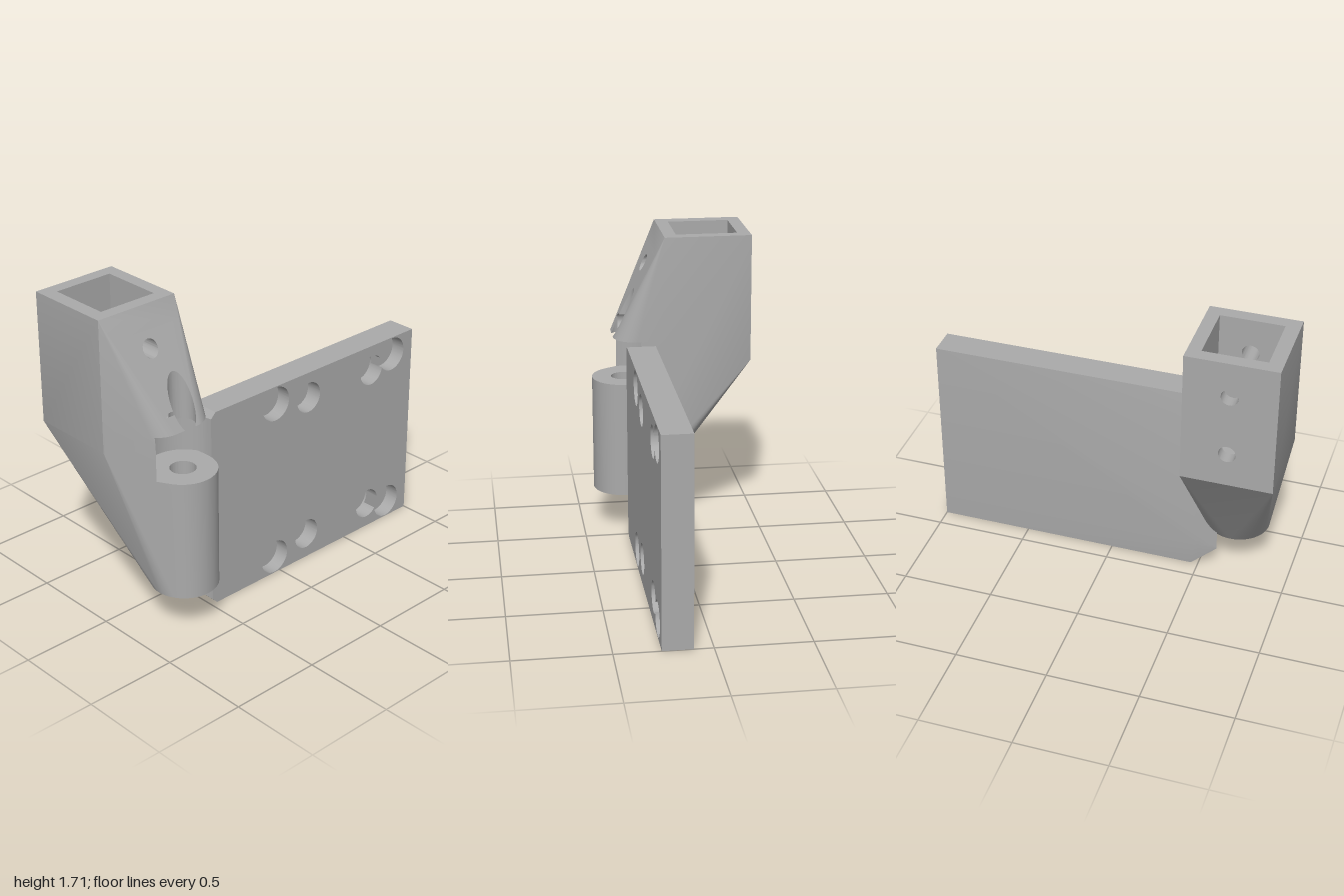
import * as THREE from 'three';
import { toCreasedNormals } from 'three/addons/utils/BufferGeometryUtils.js';
import { ConvexGeometry } from 'three/addons/geometries/ConvexGeometry.js';

const EPS = 1e-5;
const V = (x, y, z) => new THREE.Vector3(x, y, z);

// Convex solid from points: its triangles and its distinct face planes
function hull(points) {
  const p = new ConvexGeometry(points).getAttribute('position');
  const polys = [], planes = new Map();
  for (let i = 0; i < p.count; i += 3) {
    const tri = [0, 1, 2].map(k => new THREE.Vector3().fromBufferAttribute(p, i + k));
    const t = new THREE.Triangle(...tri);
    if (t.getArea() < 1e-9) continue;
    const plane = t.getPlane(new THREE.Plane());
    polys.push(tri);
    planes.set([...plane.normal.toArray(), plane.constant].map(n => Math.round(n * 1e4)).join(), plane);
  }
  return { polys, planes: [...planes.values()] };
}

// Split a convex polygon into the parts in front of and behind a plane
function split(poly, plane) {
  const d = poly.map(v => plane.distanceToPoint(v));
  if (d.every(n => n <= EPS)) return [null, poly];
  if (d.every(n => n >= -EPS)) return [poly, null];
  const front = [], back = [];
  poly.forEach((v, i) => {
    const j = (i + 1) % poly.length;
    if (d[i] >= -EPS) front.push(v);
    if (d[i] <= EPS) back.push(v);
    if ((d[i] > EPS && d[j] < -EPS) || (d[i] < -EPS && d[j] > EPS)) {
      const m = v.clone().lerp(poly[j], d[i] / (d[i] - d[j]));
      front.push(m);
      back.push(m);
    }
  });
  return [front, back];
}

// Pieces of a polygon outside a convex solid
function outside(poly, solid) {
  const out = [];
  let rest = poly;
  for (const plane of solid.planes) {
    const [f, b] = split(rest, plane);
    if (!b) return [poly];
    if (f) out.push(f);
    rest = b;
  }
  return out;
}

// Piece of a polygon inside a convex solid
function inside(poly, solid) {
  for (const plane of solid.planes) {
    poly = split(poly, plane)[1];
    if (!poly) return [];
  }
  return [poly];
}

// Convex solid with convex cutters removed, walls of the cuts included
function carve(solid, cutters) {
  const minus = (polys, list) => list.reduce((ps, c) => ps.flatMap(p => outside(p, c)), polys);
  const polys = minus(solid.polys, cutters);
  for (const c of cutters) {
    const walls = c.polys.flatMap(p => inside(p, solid));
    polys.push(...minus(walls, cutters.filter(o => o !== c)).map(p => [...p].reverse()));
  }
  const pos = [];
  for (const p of polys) {
    for (let i = 1; i < p.length - 1; i++) {
      if (new THREE.Triangle(p[0], p[i], p[i + 1]).getArea() < 1e-9) continue;
      for (const v of [p[0], p[i], p[i + 1]]) pos.push(v.x, v.y, v.z);
    }
  }
  const g = new THREE.BufferGeometry();
  g.setAttribute('position', new THREE.Float32BufferAttribute(pos, 3));
  return toCreasedNormals(g, 0.4);
}

// Point sets for upright and front-to-back cylinders, and for boxes
function ring(fn, n) {
  return Array.from({ length: n }, (_, i) => fn(Math.cos(i / n * 2 * Math.PI), Math.sin(i / n * 2 * Math.PI))).flat();
}
const upright = (x, z, r, y0, y1, n = 48) =>
  ring((c, s) => [V(x + r * c, y0, z + r * s), V(x + r * c, y1, z + r * s)], n);
const drill = (x, y, r, z0, z1, n = 32) =>
  ring((c, s) => [V(x + r * c, y + r * s, z0), V(x + r * c, y + r * s, z1)], n);
const box = (x0, x1, y0, y1, z0, z1) =>
  [x0, x1].flatMap(x => [y0, y1].flatMap(y => [z0, z1].map(z => V(x, y, z))));

export function createModel() {
  const group = new THREE.Group();
  const grey = new THREE.MeshStandardMaterial({ color: 0xaaaaaa });
  grey.name = 'plain grey';
  const add = (name, geometry) => {
    const mesh = new THREE.Mesh(geometry, grey);
    mesh.name = name;
    group.add(mesh);
  };
  const px = -0.68, pz = 0.26; // hinge axis

  // Hinge barrel blending up and back into a square socket
  const bracket = hull([
    ...upright(px, pz, 0.175, 0.235, 0.89),
    ...box(-1, -0.525, 1.0, 1.71, -0.44, 0.04),
  ]);
  add('socketBracket', carve(bracket, [
    hull(upright(px, pz, 0.19, 0.89, 1.13)),           // knuckle clearance
    hull(upright(px, pz, 0.068, 0.1, 1.6, 32)),        // pin bore
    hull(box(-0.925, -0.595, 1.0, 1.9, -0.37, -0.03)), // square socket
    hull(drill(-0.76, 1.52, 0.045, -0.6, 0.28, 24)),   // screw holes
    hull(drill(-0.76, 1.185, 0.045, -0.6, 0.28, 24)),
  ]));

  // Hinge leaf: chamfered plate, slightly thicker at the back near the hinge
  const H = 1.12;
  const leaf = hull([
    ...box(-0.46, 1, 0, H, 0.1, 0.26),
    ...box(-0.61, -0.61, 0.15, H - 0.15, 0.085, 0.26),
  ]);
  const pockets = [];
  for (const flip of [false, true]) {
    for (const [x, y, r, floor] of [
      [-0.04, 0.1, 0.095, 0.18], [0.2, 0.145, 0.085, 0.17],
      [0.68, 0.145, 0.085, 0.17], [0.84, 0.1, 0.095, 0.18],
    ]) pockets.push(hull(drill(x, flip ? H - y : y, r, floor, 0.4)));
  }
  add('hingeLeaf', carve(leaf, [hull(upright(px, pz, 0.19, -0.2, 1.4)), ...pockets]));

  return group;
}
